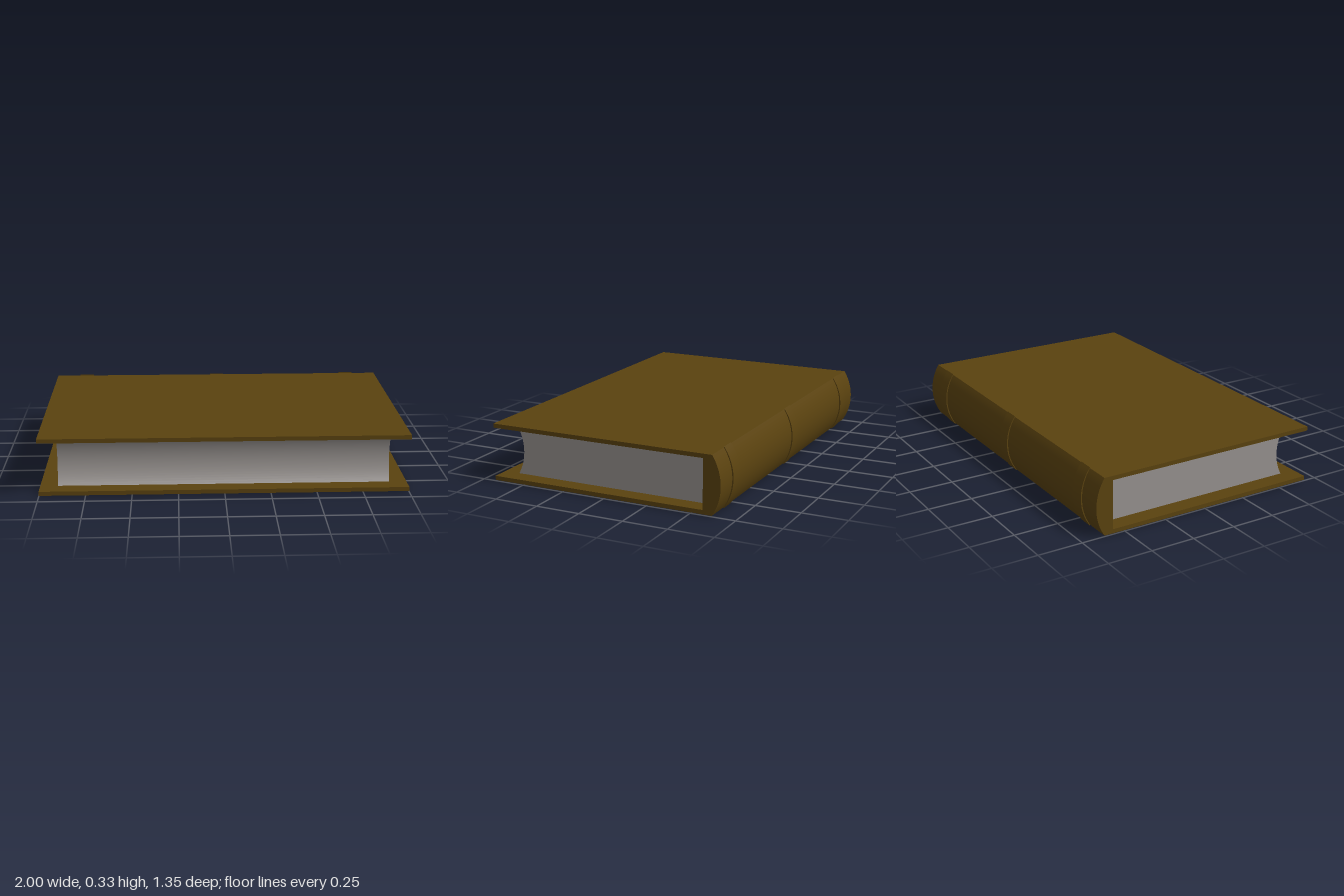
import * as THREE from 'three';
import { toCreasedNormals } from 'three/addons/utils/BufferGeometryUtils.js';

const MID = 0.164;        // mid height of the book
const INNER = 0.136;      // half height between the covers
const OUTER = 0.159;      // half height over the covers

// Points of a shallow arc; u runs towards the back (u = -z), v is the height
function arc(u, half, bulge, steps = 20) {
  const r = (half * half + bulge * bulge) / (2 * bulge);
  const a = Math.asin(half / r);
  return Array.from({ length: steps + 1 }, (_, i) => {
    const t = -a + (2 * a * i) / steps;
    return new THREE.Vector2(u + r * (Math.cos(t) - Math.cos(a)), MID + r * Math.sin(t));
  });
}

// Side profile swept along x, centred at the given x
function sweep(points, width, x = 0) {
  const geo = new THREE.ExtrudeGeometry(new THREE.Shape(points), { depth: width, bevelEnabled: false });
  geo.translate(0, 0, -width / 2);
  geo.rotateY(Math.PI / 2);
  geo.translate(x, 0, 0);
  return toCreasedNormals(geo, 0.5);
}

export function createModel() {
  const book = new THREE.Group();
  book.name = 'book';
  const leather = new THREE.MeshStandardMaterial({ color: 0x5a420f });
  leather.name = 'brown leather';
  const paper = new THREE.MeshStandardMaterial({ color: 0x96918e });
  paper.name = 'grey paper';

  const add = (name, geo, mat) => {
    const mesh = new THREE.Mesh(geo, mat);
    mesh.name = name;
    book.add(mesh);
  };
  const v = (x, y) => new THREE.Vector2(x, y);

  // Two cover boards
  for (const [name, side] of [['bottomCover', -1], ['topCover', 1]]) {
    const board = new THREE.BoxGeometry(2, OUTER - INNER, 1.295);
    board.translate(0, MID + side * (INNER + OUTER) / 2, 0.0275);
    add(name, board, leather);
  }

  // Rounded spine with a flat inner block between the boards
  add('spine', sweep([
    v(0.62, MID + INNER), v(0.57, MID + INNER), v(0.57, MID - INNER), v(0.62, MID - INNER),
    ...arc(0.62, OUTER, 0.048),
  ], 2), leather);

  // Raised bands across the spine
  for (const x of [-0.818, 0, 0.818]) {
    add('spineBand', sweep(arc(0.621, MID, 0.054), 0.084, x), leather);
  }

  // Page block with a hollow fore edge
  add('pages', sweep([
    v(0.57, MID - INNER), v(0.57, MID + INNER),
    ...arc(-0.585, INNER, 0.038).reverse(),
  ], 1.81), paper);

  return book;
}
